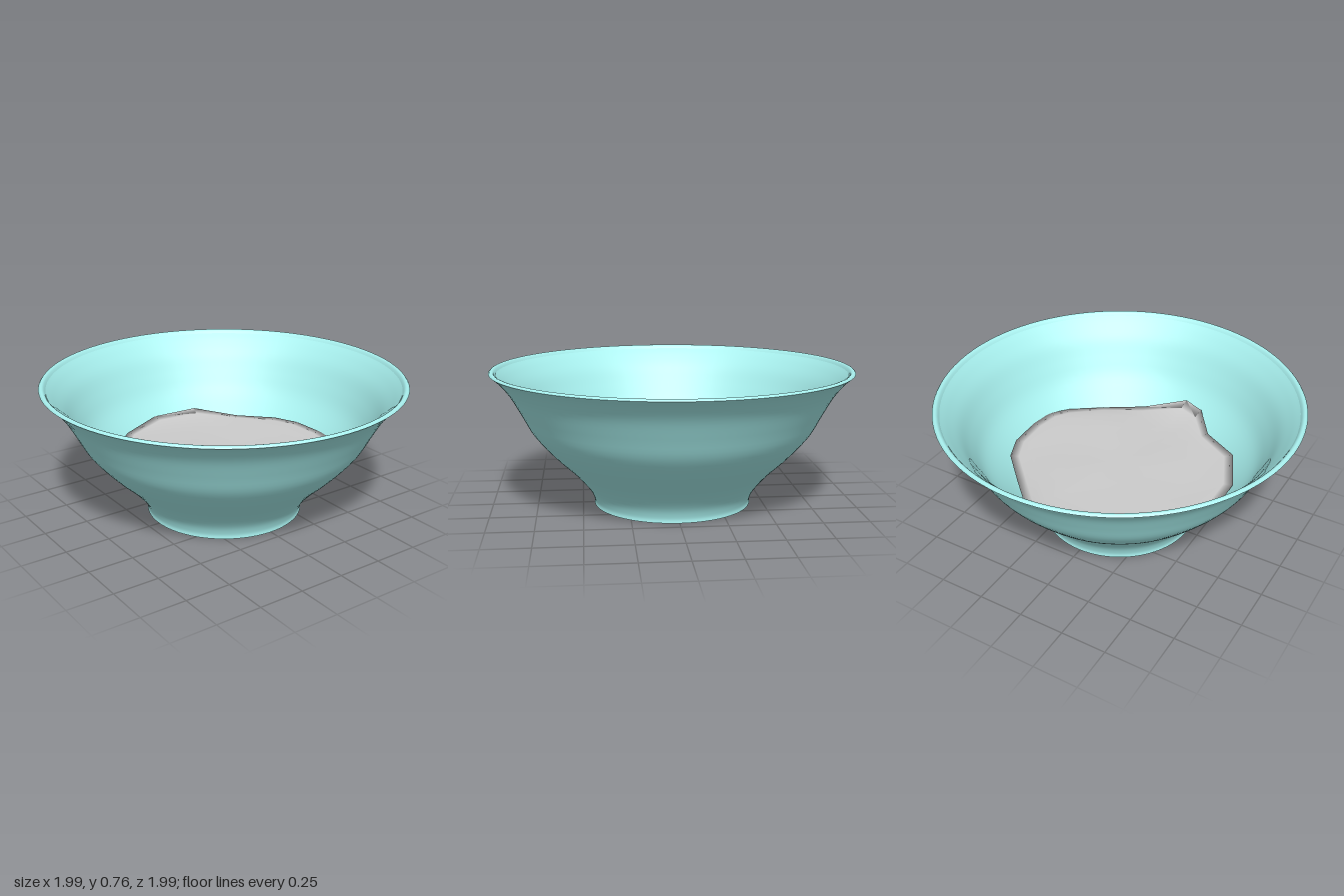
import * as THREE from 'three';

const v2 = (pts) => pts.map(([r, y]) => new THREE.Vector2(r, y));

// smooth curve through a few radius/height points
const smooth = (pts, n) => new THREE.SplineCurve(v2(pts)).getPoints(n);

// rim of the filling, clockwise seen from above: x, z, height
const OUTLINE = [
  [0.64, 0.08, 0.32], [0.62, 0.22, 0.32], [0.57, 0.31, 0.31], [0.39, 0.46, 0.3], [0.16, 0.57, 0.32],
  [-0.07, 0.68, 0.38], [-0.19, 0.64, 0.37], [-0.31, 0.49, 0.33], [-0.53, 0.36, 0.34],
  [-0.64, 0.12, 0.33], [-0.64, -0.12, 0.32], [-0.53, -0.34, 0.31], [-0.3, -0.56, 0.32],
  [-0.05, -0.66, 0.34], [0.21, -0.62, 0.35], [0.4, -0.43, 0.32], [0.57, -0.26, 0.32], [0.63, -0.12, 0.32],
];

function fillingGeometry() {
  const n = OUTLINE.length;
  const pos = [0, 0.32, 0];
  const index = [];
  // concentric rings over the top, then the underside tucked into the bowl
  const rings = [[0.3, 0], [0.6, 0], [0.8, 0.05], [0.92, 0.5], [1, 1], [0.88, -1], [0.55, -2]];
  for (const [s, k] of rings) {
    OUTLINE.forEach(([x, z, h]) => {
      const bump = 0.32 + 0.006 * Math.sin(9 * x * s + 2) * Math.cos(8 * z * s);
      const y = k >= 0 ? bump + (h - bump) * k : k === -1 ? 0.25 : 0.15;
      pos.push(x * s, y, z * s);
    });
  }
  for (let i = 0; i < n; i++) {
    const j = (i + 1) % n;
    index.push(0, 1 + j, 1 + i);
    for (let r = 0; r < rings.length - 1; r++) {
      const a = 1 + r * n, b = a + n;
      index.push(a + i, a + j, b + i, a + j, b + j, b + i);
    }
  }
  const g = new THREE.BufferGeometry();
  g.setAttribute('position', new THREE.Float32BufferAttribute(pos, 3));
  g.setIndex(index);
  g.computeVertexNormals();
  return g;
}

export function createModel() {
  const model = new THREE.Group();
  const glaze = new THREE.MeshStandardMaterial({ color: 0xa8f0ee, side: THREE.DoubleSide });
  const grey = new THREE.MeshStandardMaterial({ color: 0xcccccc, side: THREE.DoubleSide });
  const add = (name, geometry, material) => {
    const mesh = new THREE.Mesh(geometry, material);
    mesh.name = name;
    model.add(mesh);
  };

  // flat foot
  add('bowlBase', new THREE.LatheGeometry(v2([[0, 0], [0.436, 0]]), 96), glaze);

  // outer wall, flaring from the foot to the rim
  add('bowlOuterWall', new THREE.LatheGeometry(smooth([
    [0.436, 0], [0.437, 0.03], [0.465, 0.09], [0.545, 0.185], [0.66, 0.295],
    [0.765, 0.415], [0.83, 0.53], [0.89, 0.635], [0.95, 0.71], [0.995, 0.75],
  ], 40), 96), glaze);

  // narrow rounded lip
  add('bowlRim', new THREE.LatheGeometry(smooth([
    [0.995, 0.75], [0.985, 0.76], [0.97, 0.757], [0.958, 0.74],
  ], 8), 96), glaze);

  // inner wall and floor
  add('bowlInside', new THREE.LatheGeometry(smooth([
    [0.958, 0.74], [0.92, 0.7], [0.865, 0.63], [0.81, 0.53], [0.745, 0.42],
    [0.64, 0.308], [0.52, 0.195], [0.38, 0.1], [0.2, 0.06], [0, 0.05],
  ], 40), 96), glaze);

  // uneven filling resting in the bowl
  add('filling', fillingGeometry(), grey);

  return model;
}
